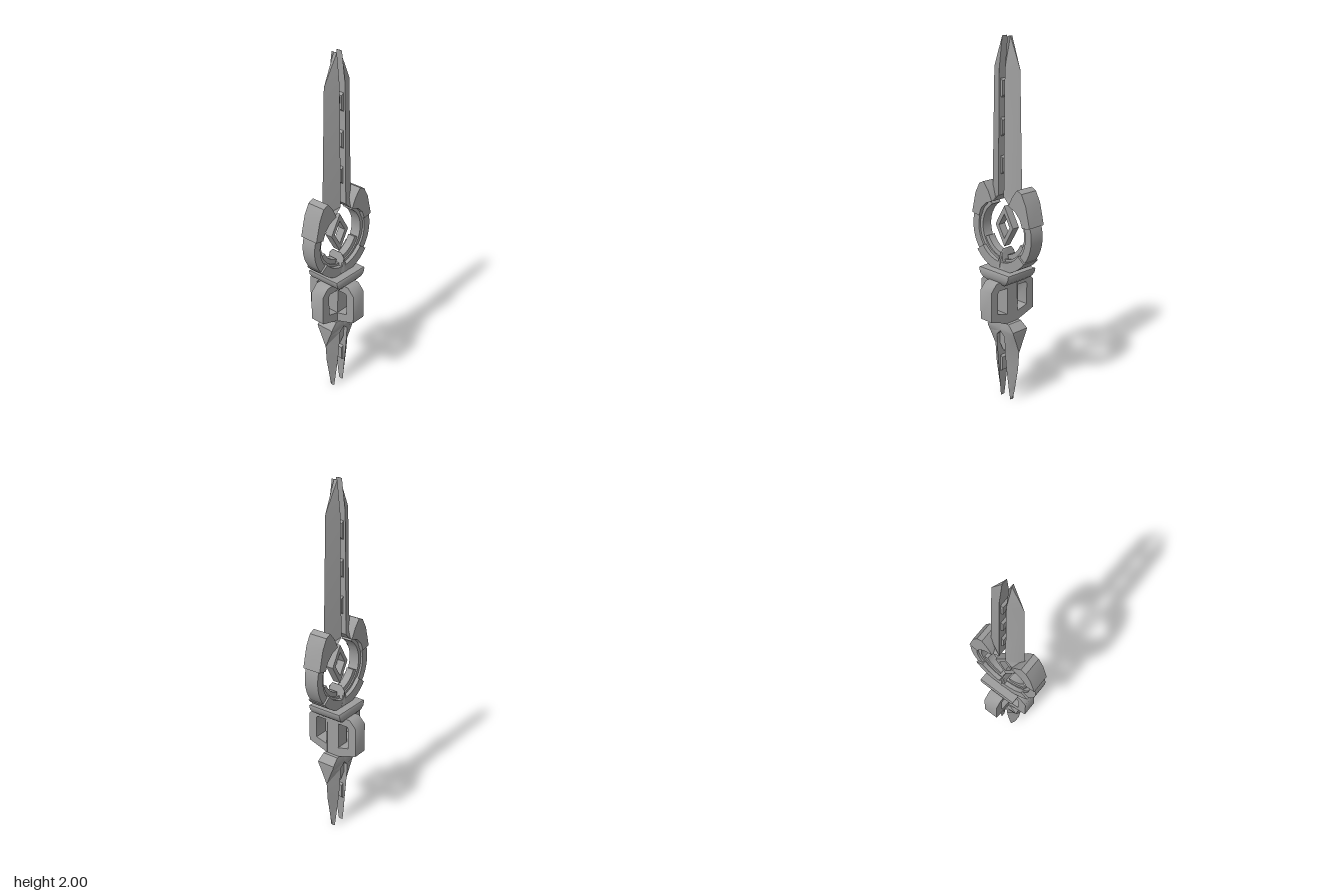
import * as THREE from 'three';
import { toCreasedNormals } from 'three/addons/utils/BufferGeometryUtils.js';

const material = new THREE.MeshStandardMaterial({ color: 0x9d9d9d });
const RING_Y = 0.985;

const points = (list) => list.map(([z, y]) => new THREE.Vector2(z, y));

// Plate drawn in the z-y plane, extruded evenly to both sides in x
function plate(shape, halfWidth) {
  const geo = new THREE.ExtrudeGeometry(shape, {
    depth: 2 * halfWidth, curveSegments: 40, bevelEnabled: false,
  });
  geo.translate(0, 0, -halfWidth);
  geo.rotateY(-Math.PI / 2);
  return geo;
}

// Ring sector around the ring centre, angles in degrees, 270 is the bottom
function sector(r0, r1, a0, a1) {
  const s = new THREE.Shape();
  const a = THREE.MathUtils.degToRad(a0), b = THREE.MathUtils.degToRad(a1);
  s.absarc(0, RING_Y, r1, a, b, false);
  s.absarc(0, RING_Y, r0, b, a, true);
  s.closePath();
  return s;
}

// Solid through rising rows of [y, inner z, outer z, inner half width, outer half width]
function loft(rows) {
  const pos = [];
  // Corners run counterclockwise seen from above
  const corners = rows.map(([y, zi, zo, wi, wo]) =>
    [[wi, y, zi], [-wi, y, zi], [-wo, y, zo], [wo, y, zo]]);
  const quad = (a, b, c, d) => pos.push(...a, ...b, ...c, ...a, ...c, ...d);
  for (let i = 0; i < rows.length - 1; i++) {
    const lo = corners[i], hi = corners[i + 1];
    for (let k = 0; k < 4; k++) {
      const n = (k + 1) % 4;
      quad(lo[k], lo[n], hi[n], hi[k]);
    }
  }
  const [a, b, c, d] = corners[0];
  quad(a, d, c, b);
  quad(...corners[corners.length - 1]);
  const geo = new THREE.BufferGeometry();
  geo.setAttribute('position', new THREE.Float32BufferAttribute(pos, 3));
  geo.computeVertexNormals();
  return geo;
}

// Small trapezoid tooth pointing to the middle gap
function tooth(y, zBase, zTip, halfHeight, halfWidth) {
  return plate(new THREE.Shape(points([
    [zBase, y + halfHeight], [zBase, y - halfHeight],
    [zTip, y - halfHeight * 0.7], [zTip, y + halfHeight * 0.7],
  ])), halfWidth);
}

export function createModel() {
  const model = new THREE.Group();
  const add = (name, geo, turn = 0, crease = 0.5) => {
    const mesh = new THREE.Mesh(toCreasedNormals(geo, crease), material);
    mesh.name = name;
    mesh.rotation.y = turn;
    model.add(mesh);
  };

  // Parts that repeat on the front and the back
  for (const turn of [0, Math.PI]) {
    // Long upper blade with a sharp outer ridge
    add('upperBlade', loft([
      [1.14, 0.06, 0.1, 0.044, 0], [1.18, 0.02, 0.11, 0.045, 0],
      [1.84, 0.02, 0.093, 0.036, 0], [2.0, 0.018, 0.023, 0.017, 0],
    ]), turn);
    for (const y of [1.34, 1.54, 1.74]) add('bladeTooth', tooth(y, 0.025, 0.007, 0.053, 0.026), turn);

    // Armour at the open ends of the ring
    add('upperArmour', plate(new THREE.Shape(points([
      [0.125, 1.237], [0.157, 1.222], [0.187, 1.165], [0.215, 1.05], [0.163, 1.04],
      [0.145, 1.085], [0.11, 1.12], [0.062, 1.14], [0.09, 1.195],
    ])), 0.053), turn, 0.3);
    add('innerProng', plate(sector(0.13, 0.16, 204, 258), 0.022), turn);

    // Half of the ridged spike standing in the bottom of the ring
    add('ringSpike', loft([
      [0.78, 0, 0.028, 0.057, 0.0535], [0.86, 0, 0.007, 0.052, 0.045], [0.888, 0, 0.001, 0.03, 0.028],
    ]), turn);

    // Split lower blade, flat on top and ridged below
    add('lowerBlade', loft([
      [0, 0.037, 0.042, 0.013, 0], [0.055, 0.035, 0.058, 0.02, 0],
      [0.2, 0.03, 0.085, 0.036, 0], [0.3, 0.03, 0.093, 0.045, 0],
      [0.39, 0.03, 0.098, 0.05, 0.036], [0.42, 0, 0.1, 0.053, 0.049],
      [0.435, 0, 0.1, 0.053, 0.053], [0.47, 0, 0.058, 0.047, 0.047],
    ]), turn);
    add('lowerTooth', tooth(0.205, 0.04, 0.016, 0.055, 0.022), turn);
  }

  // Open ring, stepped on the inside, with a heavier lower cradle
  add('ring', plate(sector(0.175, 0.218, 128, 412), 0.042));
  add('ringLining', plate(sector(0.155, 0.18, 122, 418), 0.03));
  add('lowerArmour', plate(sector(0.168, 0.222, 218, 322), 0.053));

  // Floating hollow diamond
  const diamond = (z, y) => points([[z, 1.01], [0, 1.01 + y], [-z, 1.01], [0, 1.01 - y]]);
  const gem = new THREE.Shape(diamond(0.065, 0.112));
  gem.holes.push(new THREE.Path(diamond(0.04, 0.068)));
  add('diamond', plate(gem, 0.022));

  // Guard with a rounded underside that narrows downward
  add('guard', loft([
    [0.69, 0.03, 0.055], [0.703, 0.062, 0.078], [0.725, 0.09, 0.096],
    [0.745, 0.105, 0.101], [0.77, 0.112, 0.101], [0.775, 0.111, 0.098],
  ].map(([y, z, x]) => [y, -z, z, x, x])), 0, 0.6);

  // Grip with three hand loops: left, right and front
  const grip = new THREE.BoxGeometry(0.08, 0.25, 0.08);
  grip.translate(0, 0.595, 0);
  add('grip', grip);
  const loop = new THREE.Shape(points([
    [0.035, 0.47], [0.157, 0.51], [0.157, 0.678], [0.118, 0.72], [0.035, 0.72],
  ]));
  loop.holes.push(new THREE.Path(points([
    [0.039, 0.525], [0.039, 0.675], [0.1, 0.675], [0.108, 0.665], [0.108, 0.543],
  ])));
  for (const turn of [0, Math.PI / 2, -Math.PI / 2]) add('handLoop', plate(loop, 0.042), turn, 0.9);

  // Recessed panel between the lower blade halves
  add('recessedPanel', plate(new THREE.Shape(points([
    [0, 0.29], [0.035, 0.335], [0.035, 0.4], [0, 0.43], [-0.035, 0.4], [-0.035, 0.335],
  ])), 0.026));

  return model;
}
